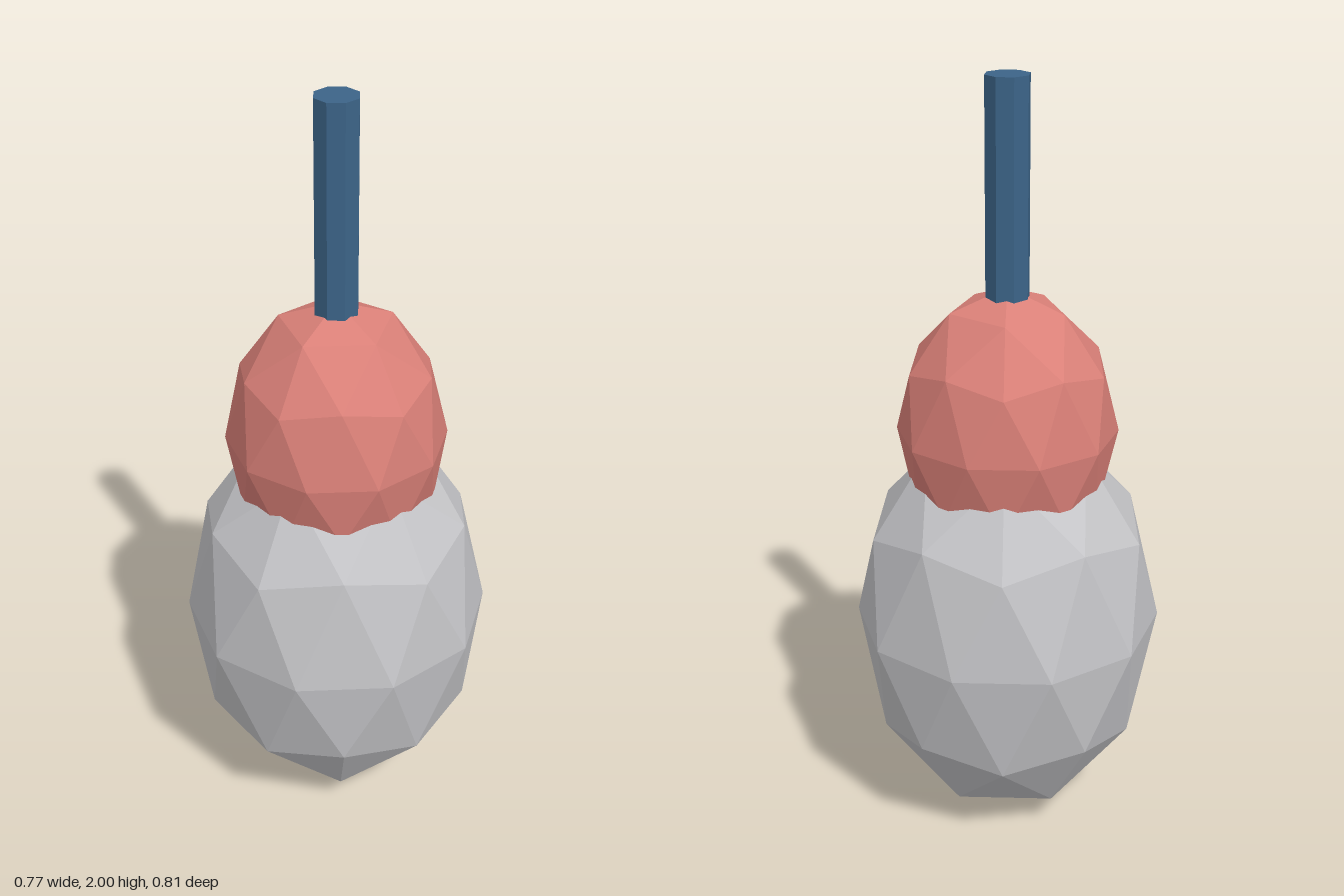
import * as THREE from 'three';

const paint = (name, color) => {
  const m = new THREE.MeshStandardMaterial({ color });
  m.name = name;
  return m;
};

export function createModel() {
  const grey = paint('light grey', 0xc4c4c7);
  const coral = paint('coral red', 0xda8078);
  const blue = paint('steel blue', 0x3c6488);
  const model = new THREE.Group();
  model.name = 'stackedFigure';

  // Unshared corners give every facet its own normal
  const add = (name, geometry, material, y) => {
    const faceted = geometry.index ? geometry.toNonIndexed() : geometry;
    faceted.computeVertexNormals();
    const mesh = new THREE.Mesh(faceted, material);
    mesh.name = name;
    mesh.position.y = y;
    model.add(mesh);
  };

  // Faceted egg: 80-sided ball with a corner at each pole, stretched upward
  const tilt = Math.atan(2 / (1 + Math.sqrt(5)));
  const egg = (radius, halfHeight) =>
    new THREE.IcosahedronGeometry(1, 1).rotateZ(-tilt).scale(radius, halfHeight, radius);

  add('body', egg(0.403, 0.573), grey, 0.573);
  add('head', egg(0.285, 0.377), coral, 1.102);

  // Eight-sided rod rising out of the head
  const rodTop = 2, rodBottom = 1.3;
  add('rod', new THREE.CylinderGeometry(0.057, 0.057, rodTop - rodBottom, 8), blue, (rodTop + rodBottom) / 2);

  return model;
}
